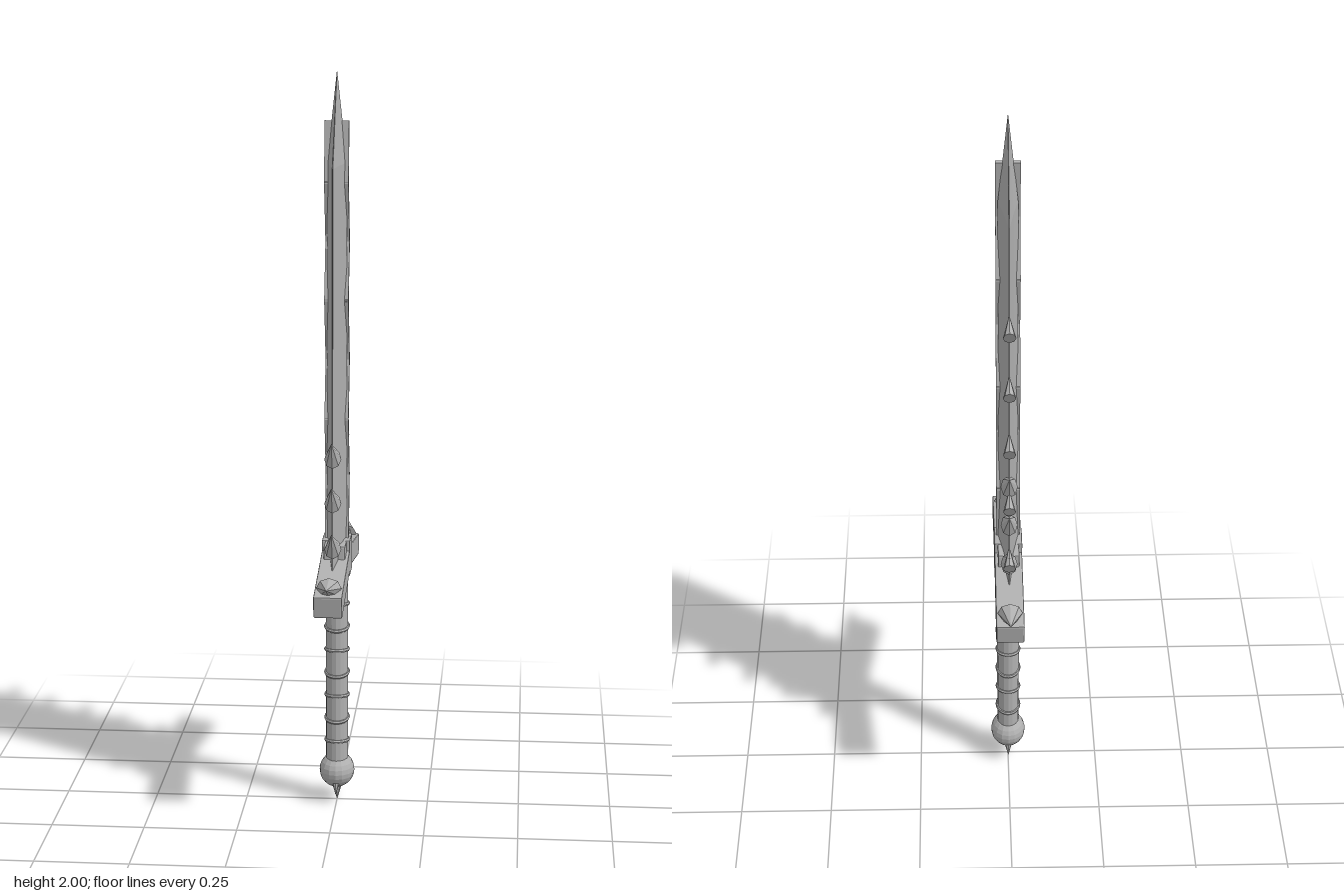
import * as THREE from 'three';
import { RoundedBoxGeometry } from 'three/addons/geometries/RoundedBoxGeometry.js';

const steel = new THREE.MeshStandardMaterial({ color: 0xb0b0b0, flatShading: true });
steel.name = 'grey steel';

function add(parent, name, geometry, y = 0, z = 0, tilt = 0) {
  const mesh = new THREE.Mesh(geometry, steel);
  mesh.name = name;
  mesh.position.set(0, y, z);
  mesh.rotation.x = tilt;
  parent.add(mesh);
  return mesh;
}

// Cone from a base centre to a tip, both given as [y, z]; squash flattens it in x
function spike(parent, name, base, tip, radius, squash = 1) {
  const dy = tip[0] - base[0], dz = tip[1] - base[1], h = Math.hypot(dy, dz);
  const geometry = new THREE.ConeGeometry(radius, h, 8).translate(0, h / 2, 0).scale(squash, 1, 1);
  return add(parent, name, geometry, base[0], base[1], Math.atan2(dz, dy));
}

// Blade: hollow-ground diamond section lofted from guard to point
function bladeGeometry() {
  const ring = (y, w, t) => [
    [t, 0], [t * 0.55, w * 0.4], [0.001, w], [-0.001, w], [-t * 0.55, w * 0.4],
    [-t, 0], [-t * 0.55, -w * 0.4], [-0.001, -w], [0.001, -w], [t * 0.55, -w * 0.4],
  ].map(([x, z]) => [x, y, z]);
  const rings = [ring(0.7, 0.165, 0.027), ring(1.76, 0.148, 0.026)];
  const tip = [0, 2, 0], foot = [0, 0.7, 0];
  const [low, high] = rings, n = low.length, p = [];
  for (let i = 0; i < n; i++) {
    const j = (i + 1) % n;
    p.push(low[i], high[i], high[j], low[i], high[j], low[j]);
    p.push(high[i], tip, high[j]);
    p.push(foot, low[i], low[j]);
  }
  const g = new THREE.BufferGeometry();
  g.setAttribute('position', new THREE.Float32BufferAttribute(p.flat(), 3));
  g.computeVertexNormals();
  return g;
}

export function createModel() {
  const sword = new THREE.Group();
  sword.name = 'sword';
  add(sword, 'blade', bladeGeometry());

  // Jagged vein running through the blade, standing proud on both faces
  const vein = new THREE.Group();
  vein.name = 'bladeVein';
  sword.add(vein);
  const path = [[1.865, 0], [1.71, 0.02], [1.55, -0.022], [1.4, 0.02], [1.235, -0.023],
    [1.08, 0.016], [0.92, -0.024], [0.74, 0.01]];
  for (let i = 0; i + 1 < path.length; i++) {
    const [y0, z0] = path[i], [y1, z1] = path[i + 1];
    const length = Math.hypot(y1 - y0, z1 - z0);
    add(vein, 'veinSegment', new THREE.BoxGeometry(0.064, length + 0.008, 0.011),
      (y0 + y1) / 2, (z0 + z1) / 2, Math.atan2(z0 - z1, y0 - y1));
  }

  // Upswept spikes on both lower edges
  for (const side of [1, -1]) {
    for (const y of [1.0, 0.88, 0.755]) {
      spike(sword, 'edgeSpike', [y, side * 0.143], [y + 0.053, side * 0.193], 0.03, 0.75);
    }
  }
  // Flared barbs along the back edge, points set into the blade
  for (const y of [1.515, 1.34, 1.17, 0.995, 0.815]) {
    spike(sword, 'flaredBarb', [y - 0.037, -0.2], [y, -0.146], 0.026, 0.65);
  }

  // Crossguard
  const guard = new THREE.Group();
  guard.name = 'crossguard';
  sword.add(guard);
  add(guard, 'guardCore', new RoundedBoxGeometry(0.076, 0.1, 0.084, 1, 0.004), 0.702);
  add(guard, 'guardCollar', new RoundedBoxGeometry(0.058, 0.05, 0.195, 1, 0.004), 0.725);
  for (const side of [1, -1]) {
    add(guard, 'guardArm', new RoundedBoxGeometry(0.075, 0.06, 0.285, 1, 0.004),
      0.67, side * 0.175, side * 0.175);
    spike(guard, 'guardSpike', [0.687, side * 0.273], [0.706, side * 0.363], 0.026, 1.27);
  }

  // Oval grip with slightly tilted binding rings
  add(sword, 'grip', new THREE.CylinderGeometry(0.038, 0.038, 0.5, 16).scale(0.8, 1, 1), 0.37);
  const ring = new THREE.TorusGeometry(0.039, 0.005, 6, 24).rotateX(Math.PI / 2).scale(0.8, 1, 1);
  for (let i = 0; i < 7; i++) {
    add(sword, 'gripRing', ring, 0.175 + i * 0.065, 0, i % 2 ? 0.12 : -0.12);
  }

  // Pommel with three small claws
  add(sword, 'pommel', new THREE.SphereGeometry(0.048, 16, 12).scale(1, 1, 1.18), 0.088);
  spike(sword, 'pommelClaw', [0.052, 0], [0, 0], 0.016);
  for (const side of [1, -1]) {
    spike(sword, 'pommelClaw', [0.073, side * 0.034], [0.03, side * 0.052], 0.014);
  }
  return sword;
}
